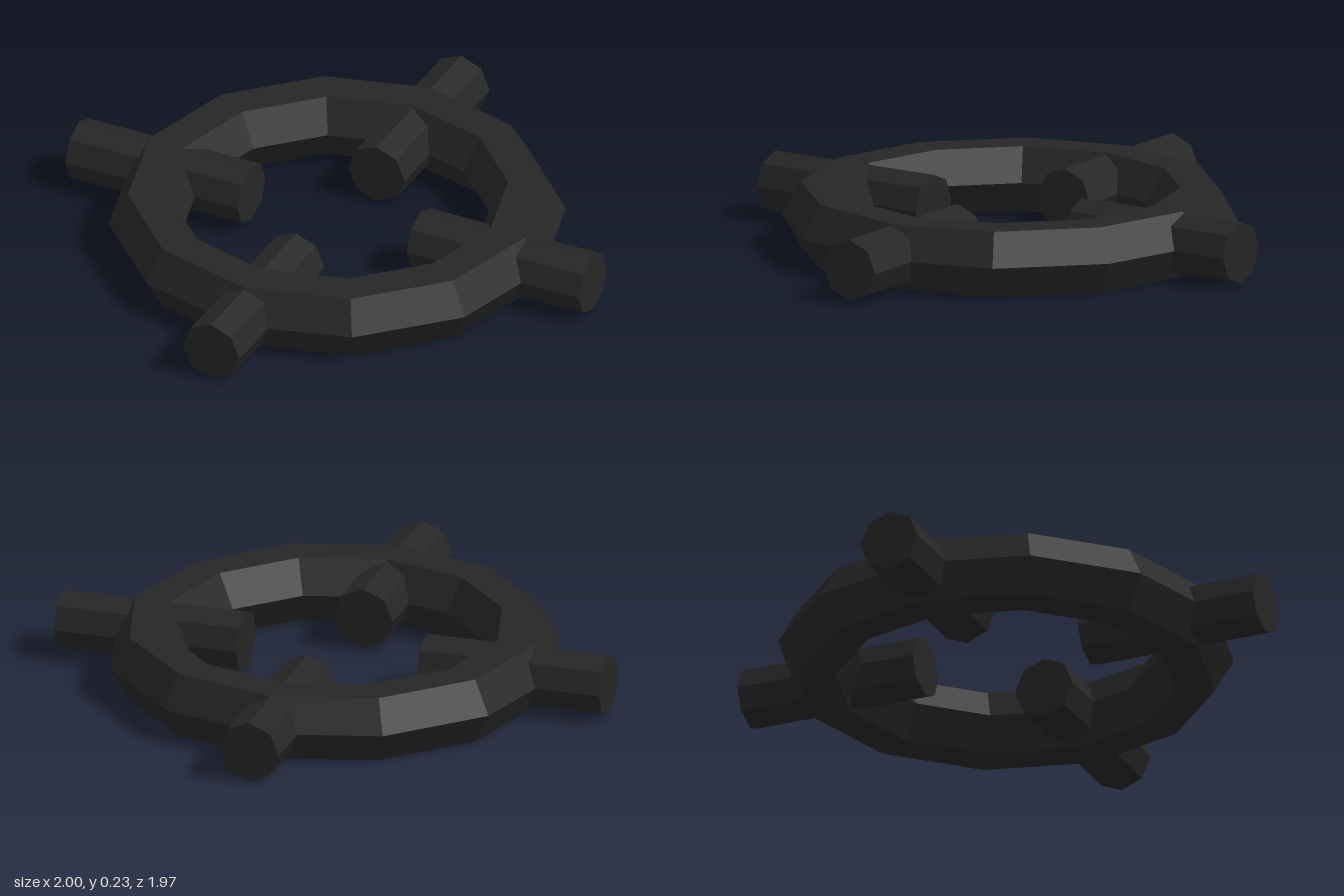
import * as THREE from 'three';

const MID_Y = 0.117;
const RING_X = 0.005, RING_Z = -0.008;
const BAR_RADIUS = 0.11, BAR_LENGTH = 0.67;

export function createModel() {
  const model = new THREE.Group();
  model.name = 'crossRing';
  const material = new THREE.MeshStandardMaterial({ color: 0x262626, flatShading: true });

  // Twelve-sided ring with a hexagonal section
  const ring = new THREE.Mesh(new THREE.TorusGeometry(0.665, 0.135, 6, 12).rotateX(-Math.PI / 2), material);
  ring.name = 'ring';
  ring.position.set(RING_X, MID_Y, RING_Z);
  model.add(ring);

  // Octagonal bars running radially through the ring
  const alongZ = new THREE.CylinderGeometry(BAR_RADIUS, BAR_RADIUS, BAR_LENGTH, 8).rotateX(Math.PI / 2);
  const alongX = alongZ.clone().rotateY(Math.PI / 2);
  const addBar = (name, geometry, x, z) => {
    const bar = new THREE.Mesh(geometry, material);
    bar.name = name;
    bar.position.set(x, MID_Y, z);
    model.add(bar);
  };
  addBar('leftBar', alongX, 0.665, RING_Z);
  addBar('rightBar', alongX, -0.665, RING_Z);
  addBar('frontBar', alongZ, RING_X, 0.65);
  addBar('backBar', alongZ, RING_X, -0.65);

  return model;
}
